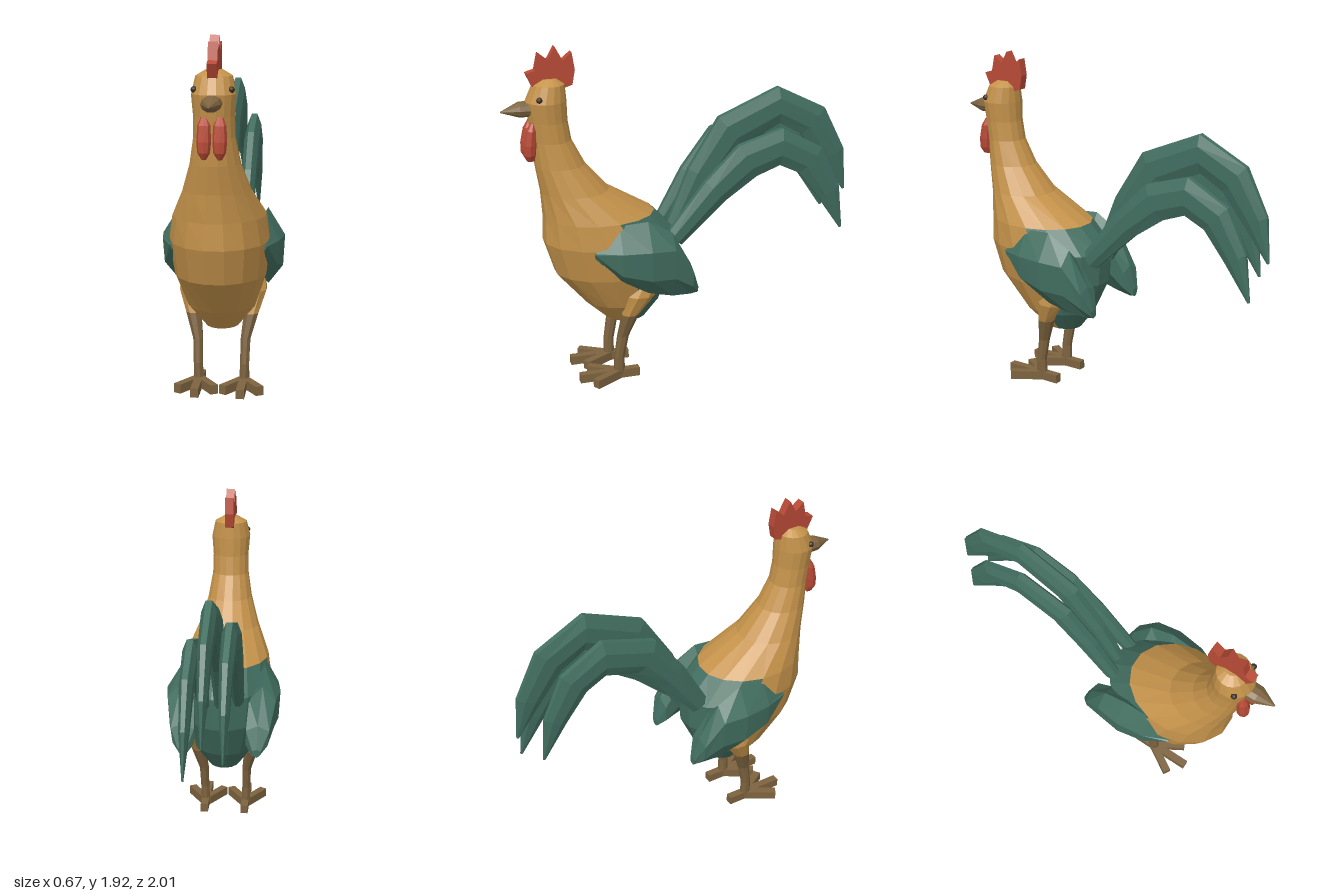
import * as THREE from 'three';

const V = (x, y, z) => new THREE.Vector3(x, y, z);
const TAN = 0xc4924a, TEAL = 0x426e60, RED = 0xb84a36, HORN = 0x7d633f, DARK = 0x3a2f22;
const mat = (color) => new THREE.MeshStandardMaterial({ color, flatShading: true });

function part(parent, name, geometry, color) {
  const mesh = new THREE.Mesh(geometry, mat(color));
  mesh.name = name;
  parent.add(mesh);
  return mesh;
}

// Ellipse of n points around c, spanned by the axes u and v
function ring(c, u, v, n, offset = 0) {
  return Array.from({ length: n }, (_, i) => {
    const a = ((i + offset) / n) * Math.PI * 2;
    return c.clone().addScaledVector(u, Math.cos(a)).addScaledVector(v, Math.sin(a));
  });
}

// Skin joining successive rings, capped at both ends; keep(row, column) selects faces
function loft(rings, keep = () => true) {
  const tris = [], n = rings[0].length, last = rings.length - 1;
  const mid = (r) => r.reduce((s, p) => s.add(p), V(0, 0, 0)).divideScalar(n);
  const start = mid(rings[0]), end = mid(rings[last]);
  for (let j = 0; j < n; j++) {
    const k = (j + 1) % n;
    tris.push([start, rings[0][k], rings[0][j], -1, j], [end, rings[last][j], rings[last][k], last, j]);
    for (let i = 0; i < last; i++) {
      const [a, b, c, d] = [rings[i][j], rings[i][k], rings[i + 1][k], rings[i + 1][j]];
      tris.push([a, b, c, i, j], [a, c, d, i, j]);
    }
  }
  // Turn the faces outward whichever way the rings run
  const volume = tris.reduce((s, [a, b, c]) => s + a.dot(b.clone().cross(c)), 0);
  const points = tris.filter((t) => keep(t[3], t[4]))
    .flatMap(([a, b, c]) => (volume > 0 ? [a, b, c] : [a, c, b]));
  const g = new THREE.BufferGeometry().setFromPoints(points);
  g.computeVertexNormals();
  return g;
}

// Body, neck and head: [y, front z, back z, half width]
function addBody(group) {
  const rows = [
    [0.33, 0.44, 0.22, 0.09], [0.45, 0.57, 0.13, 0.185], [0.64, 0.735, 0.04, 0.25],
    [0.83, 0.795, 0.03, 0.275], [0.97, 0.79, 0.165, 0.25], [1.12, 0.8, 0.42, 0.18],
    [1.27, 0.825, 0.55, 0.132], [1.41, 0.835, 0.622, 0.108], [1.52, 0.85, 0.64, 0.106],
    [1.63, 0.865, 0.643, 0.115], [1.72, 0.825, 0.65, 0.095], [1.75, 0.775, 0.69, 0.045],
  ];
  const n = 16;
  const rings = rows.map(([y, f, b, w]) =>
    ring(V(0, y, (f + b) / 2), V(w, 0, 0), V(0, 0, (f - b) / 2), n, 0.5));
  // Columns 8 to 14 lie behind the side faces
  const rump = (i, j) => i === -1 || (i < 4 && j >= 8 && j <= 14);
  part(group, 'body', loft(rings, (i, j) => !rump(i, j)), TAN);
  part(group, 'rump', loft(rings, rump), TEAL);
}

function addHead(group) {
  // Beak: [z, y, half width, half height]
  const beak = [[0.8, 1.59, 0.055, 0.042], [0.9, 1.59, 0.052, 0.042], [1.0, 1.582, 0.003, 0.003]];
  part(group, 'beak', loft(beak.map(([z, y, w, h]) =>
    ring(V(0, y, z), V(w, 0, 0), V(0, h, 0), 10))), HORN);

  // Comb: outline in (z, y), extruded across x
  const comb = new THREE.Shape([
    [0.82, 1.7], [0.86, 1.785], [0.81, 1.8], [0.79, 1.89], [0.74, 1.85], [0.7, 1.92],
    [0.66, 1.845], [0.61, 1.885], [0.595, 1.79], [0.61, 1.71], [0.7, 1.68],
  ].map(([z, y]) => new THREE.Vector2(-z, y)));
  const combGeo = new THREE.ExtrudeGeometry(comb, { depth: 0.05, bevelEnabled: false });
  combGeo.translate(0, 0, -0.025).rotateY(Math.PI / 2);
  part(group, 'comb', combGeo, RED);

  for (const s of [1, -1]) {
    const eye = part(group, 'eye', new THREE.IcosahedronGeometry(0.017, 1), DARK);
    eye.position.set(s * 0.094, 1.655, 0.805);
    // Wattle: [y, z, half width, half depth]
    const wattle = [[1.52, 0.835, 0.017, 0.015], [1.48, 0.845, 0.033, 0.03],
      [1.4, 0.855, 0.037, 0.037], [1.345, 0.858, 0.032, 0.034], [1.31, 0.852, 0.012, 0.02]];
    part(group, 'wattle', loft(wattle.map(([y, z, w, d]) =>
      ring(V(s * 0.04, y, z), V(w, 0, 0), V(0, 0, d), 8))), RED);
  }
}

// Wing: per station [z, inner x, outer x, top y, ridge y, lower y, bottom y]
function addWing(group, s) {
  const stations = [
    [0.56, 0.24, 0.26, 0.82, 0.815, 0.8, 0.79], [0.42, 0.16, 0.315, 0.96, 0.82, 0.69, 0.64],
    [0.26, 0.15, 0.335, 0.97, 0.82, 0.65, 0.55], [0.12, 0.16, 0.315, 0.89, 0.81, 0.64, 0.515],
    [0.01, 0.15, 0.285, 0.69, 0.66, 0.57, 0.505], [-0.03, 0.19, 0.24, 0.56, 0.55, 0.52, 0.51],
  ];
  part(group, 'wing', loft(stations.map(([z, a, b, top, ridge, low, bottom]) => {
    const m = (a + b) / 2;
    return [V(m, top, z), V(b, ridge, z), V(b - 0.01, low, z), V(m, bottom, z), V(a, low, z), V(a, ridge, z)]
      .map((p) => p.setX(p.x * s));
  })), TEAL);
}

// Leg: [y, x, z, half width, half depth]; the thigh covers the upper rows
function addLeg(group, s) {
  const rows = [
    [0.6, 0.18, 0.25, 0.05, 0.07], [0.52, 0.185, 0.29, 0.058, 0.08], [0.4, 0.158, 0.345, 0.043, 0.05],
    [0.26, 0.13, 0.383, 0.028, 0.034], [0.13, 0.127, 0.405, 0.026, 0.03], [0.03, 0.124, 0.405, 0.027, 0.032],
  ];
  const rings = rows.map(([y, x, z, w, d]) => ring(V(s * x, y, z), V(w, 0, 0), V(0, 0, d), 8, 0.5));
  part(group, 'thigh', loft(rings.slice(0, 3)), TAN);
  part(group, 'shank', loft(rings.slice(2)), HORN);

  // Toes: tip offset from the ankle
  const foot = new THREE.Group();
  foot.name = 'foot';
  foot.position.set(s * 0.122, 0.026, 0.4);
  group.add(foot);
  for (const [x, z] of [[0, 0.235], [-0.1, 0.165], [0.1, 0.165], [0, -0.11]]) {
    const length = Math.hypot(x, z) + 0.015;
    const geo = new THREE.BoxGeometry(0.044, 0.05, length).translate(0, 0, length / 2 - 0.015);
    part(foot, 'toe', geo, HORN).rotation.y = Math.atan2(x, z);
  }
}

// Tail feather: path of [z, y, half height], section square to the path
function addFeather(group, x, path) {
  const widths = [0.036, 0.044, 0.046, 0.044, 0.038, 0.028, 0.005];
  const at = (i) => path[Math.max(0, Math.min(path.length - 1, i))];
  part(group, 'tailFeather', loft(path.map(([z, y, h], i) => {
    const a = at(i - 1), b = at(i + 1);
    const across = V(0, -(b[0] - a[0]), b[1] - a[1]).normalize();
    return ring(V(x, y, z), V(widths[i], 0, 0), across.multiplyScalar(h), 8, 0.5);
  })), TEAL);
}

export function createModel() {
  const group = new THREE.Group();
  group.name = 'rooster';
  addBody(group);
  addHead(group);
  for (const s of [1, -1]) {
    addWing(group, s);
    addLeg(group, s);
  }
  addFeather(group, 0, [[0.04, 0.82, 0.06], [-0.12, 1.13, 0.095], [-0.29, 1.37, 0.12],
    [-0.58, 1.5, 0.115], [-0.79, 1.39, 0.11], [-0.92, 1.18, 0.08], [-1.0, 0.96, 0.008]]);
  addFeather(group, 0.1, [[0.07, 0.8, 0.06], [-0.17, 1.06, 0.09], [-0.36, 1.22, 0.115],
    [-0.56, 1.285, 0.115], [-0.74, 1.19, 0.105], [-0.86, 0.99, 0.075], [-0.945, 0.76, 0.008]]);
  addFeather(group, -0.1, [[0.08, 0.83, 0.06], [-0.1, 1.1, 0.09], [-0.26, 1.29, 0.11],
    [-0.52, 1.37, 0.115], [-0.7, 1.27, 0.105], [-0.82, 1.07, 0.075], [-0.9, 0.84, 0.008]]);
  return group;
}
